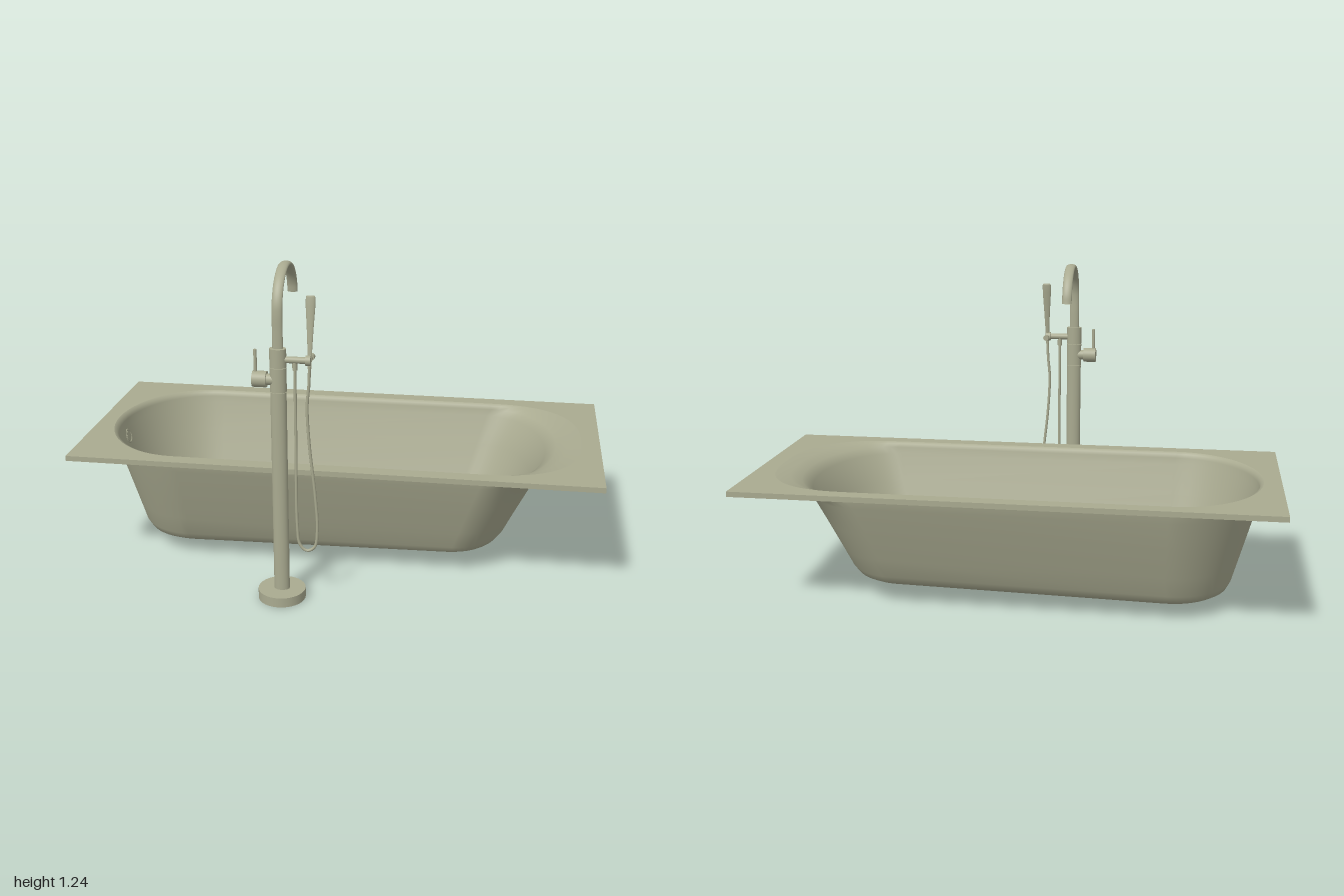
import * as THREE from 'three';

const stone = new THREE.MeshStandardMaterial({ color: 0xa9aa90, side: THREE.DoubleSide });
stone.name = 'warm grey';

const TUB_Z = -0.08, TOP = 0.485, UNDER = 0.465;

// Basin cross-sections from the deck down: y, left x, right x, half width, left and right end lengths, squareness
const RINGS = [
  [0.465, -0.935, 0.93, 0.385, 0.33, 0.38, 2.6],
  [0.458, -0.930, 0.88, 0.380, 0.33, 0.32, 2.4],
  [0.443, -0.926, 0.84, 0.376, 0.33, 0.27, 2.1],
  [0.415, -0.920, 0.80, 0.370, 0.33, 0.25, 2],
  [0.300, -0.887, 0.745, 0.333, 0.30, 0.23, 2],
  [0.180, -0.853, 0.69, 0.292, 0.27, 0.21, 2],
  [0.100, -0.830, 0.655, 0.262, 0.24, 0.20, 2],
  [0.070, -0.815, 0.635, 0.242, 0.23, 0.19, 2],
  [0.053, -0.790, 0.605, 0.212, 0.21, 0.17, 2],
  [0.048, -0.750, 0.570, 0.175, 0.18, 0.14, 2],
];

// Rounded outline with a separate curve at each end
function outline([, xL, xR, hz, aL, aR, n], inset = 0) {
  const pts = [], N = 28;
  const pow = v => Math.sign(v) * Math.pow(Math.abs(v), 2 / n);
  for (let side = 0; side < 2; side++) {
    for (let i = 0; i <= N; i++) {
      const t = -Math.PI / 2 + Math.PI * (side + i / N);
      const c = side ? Math.min(0, Math.cos(t)) : Math.max(0, Math.cos(t));
      const k = side ? 2 / 2 : 2 / n;
      const end = Math.sign(c) * Math.pow(Math.abs(c), k);
      const x = side ? xL + aL + (aL - inset) * end : xR - aR + (aR - inset) * end;
      pts.push(new THREE.Vector2(x, TUB_Z + (hz - inset) * (side ? Math.sin(t) : pow(Math.sin(t)))));
    }
  }
  return pts;
}

// Loft through the rings, closed by a gently sloping floor
function basinGeometry(inner) {
  const pos = [], idx = [];
  let count = 0;
  RINGS.forEach((ring, r) => {
    const pts = outline(ring, inner && r ? 0.007 : 0);
    count = pts.length;
    const lift = inner ? 0.013 + 0.007 * ring[0] / UNDER : 0;
    const tilt = x => 0.03 * (x + 0.8) / 1.43 * (1 - ring[0] / UNDER);
    pts.forEach(p => pos.push(p.x, ring[0] + lift + tilt(p.x), p.y));
    if (r === RINGS.length - 1) {
      pos.push(-0.09, ring[0] + lift + tilt(-0.09), TUB_Z);
    }
  });
  const tri = (a, b, c) => (inner ? idx.push(a, c, b) : idx.push(a, b, c));
  for (let r = 0; r < RINGS.length; r++) {
    for (let i = 0; i < count; i++) {
      const j = (i + 1) % count, a = r * count + i, b = r * count + j;
      if (r < RINGS.length - 1) {
        tri(a, b, a + count);
        tri(b, b + count, a + count);
      } else tri(a, b, RINGS.length * count);
    }
  }
  const g = new THREE.BufferGeometry();
  g.setAttribute('position', new THREE.Float32BufferAttribute(pos, 3));
  g.setIndex(idx);
  g.computeVertexNormals();
  return g;
}

export function createModel() {
  const model = new THREE.Group();
  const tub = new THREE.Group(), faucet = new THREE.Group();
  tub.name = 'bathtub';
  faucet.name = 'floorFaucet';
  model.add(tub, faucet);

  const add = (parent, name, geo, x = 0, y = 0, z = 0) => {
    const m = new THREE.Mesh(geo, stone);
    m.name = name;
    m.position.set(x, y, z);
    parent.add(m);
    return m;
  };
  const cyl = (r, h, r2 = r) => new THREE.CylinderGeometry(r, r2, h, 32);

  // Flat deck with the basin opening
  const deck = new THREE.Shape([[-1, -0.523], [1, -0.523], [1, 0.363], [-1, 0.363]].map(p => new THREE.Vector2(...p)));
  deck.holes.push(new THREE.Path(outline(RINGS[0])));
  add(tub, 'deck', new THREE.ExtrudeGeometry(deck, { depth: TOP - UNDER, bevelEnabled: false }).rotateX(Math.PI / 2), 0, TOP, 0);
  add(tub, 'basinInside', basinGeometry(true));
  add(tub, 'basinOutside', basinGeometry(false));

  // Drain and overflow
  add(tub, 'drainRing', new THREE.TorusGeometry(0.027, 0.004, 8, 32).rotateX(Math.PI / 2), -0.65, 0.065, TUB_Z);
  add(tub, 'drainPlug', cyl(0.021, 0.006), -0.65, 0.066, TUB_Z);
  add(tub, 'drainStub', cyl(0.023, 0.02), -0.65, 0.045, TUB_Z);
  const overflow = new THREE.Group();
  overflow.name = 'overflow';
  overflow.position.set(-0.908, 0.4, TUB_Z);
  overflow.rotation.z = -1.29;
  tub.add(overflow);
  add(overflow, 'overflowRing', new THREE.TorusGeometry(0.026, 0.004, 8, 32).rotateX(Math.PI / 2), 0, 0.004, 0);
  add(overflow, 'overflowCap', cyl(0.02, 0.008), 0, 0.003, 0);
  add(overflow, 'overflowStub', cyl(0.02, 0.03), 0, -0.015, 0);

  // Faucet column
  faucet.position.set(-0.16, 0, 0.436);
  add(faucet, 'base', cyl(0.088, 0.037), 0, 0.0185, 0);
  add(faucet, 'column', cyl(0.029, 0.775).scale(1, 1, 0.77), 0, 0.4225, 0);
  add(faucet, 'valveBody', cyl(0.03, 0.088).scale(1, 1, 0.79), 0, 0.856, 0);
  add(faucet, 'upperBody', cyl(0.03, 0.068).scale(1, 1, 0.79), 0, 0.936, 0);

  // Flattened gooseneck spout
  const path = [new THREE.Vector3(0, 0.96, 0), new THREE.Vector3(0, 1.03, 0)];
  for (let i = 0; i <= 14; i++) {
    const a = Math.PI * 0.975 * i / 14;
    path.push(new THREE.Vector3(0, 1.092 + 0.143 * Math.sin(a), -0.143 + 0.143 * Math.cos(a)));
  }
  const spout = new THREE.CatmullRomCurve3(path);
  add(faucet, 'spout', new THREE.TubeGeometry(spout, 64, 0.0095, 20).scale(2, 1, 1));
  const tip = path[path.length - 1];
  add(faucet, 'spoutOutlet', new THREE.CircleGeometry(0.0095, 20).rotateX(Math.PI / 2).scale(2, 1, 1), 0, tip.y, tip.z);

  // Mixer knob and lever
  add(faucet, 'mixerNeck', cyl(0.02, 0.04).rotateZ(Math.PI / 2), -0.035, 0.855, 0);
  add(faucet, 'mixerKnob', cyl(0.029, 0.05).rotateZ(Math.PI / 2), -0.066, 0.855, 0);
  add(faucet, 'lever', cyl(0.006, 0.09), -0.081, 0.918, 0);

  // Hand shower bracket
  add(faucet, 'bracketArm', cyl(0.012, 0.09).rotateZ(Math.PI / 2), 0.07, 0.93, 0);
  add(faucet, 'bracketCollar', cyl(0.018, 0.018).rotateZ(Math.PI / 2), 0.108, 0.93, 0);
  add(faucet, 'bracketPin', cyl(0.007, 0.045).rotateX(Math.PI / 2), 0.112, 0.93, -0.025);
  add(faucet, 'bracketKnob', cyl(0.011, 0.022).rotateX(Math.PI / 2), 0.112, 0.93, -0.045);
  add(faucet, 'hoseOutlet', cyl(0.009, 0.03), 0.06, 0.908, 0);

  // Hand shower: a slim paddle, widest at the top
  const profile = [[0, 0], [0.007, 0], [0.008, 0.06], [0.012, 0.14], [0.017, 0.22], [0.017, 0.25], [0.014, 0.256], [0, 0.256]];
  const paddle = new THREE.LatheGeometry(profile.map(p => new THREE.Vector2(...p)), 24).scale(1, 1, 0.4);
  add(faucet, 'handShower', paddle, 0.112, 0.9, 0).rotation.x = -0.14;

  // Hanging hose loop
  const hose = [[0.06, 0.91], [0.06, 0.6], [0.061, 0.3], [0.07, 0.22], [0.095, 0.196], [0.124, 0.212],
    [0.135, 0.28], [0.128, 0.42], [0.108, 0.62], [0.102, 0.76], [0.109, 0.84], [0.112, 0.91]];
  const hoseCurve = new THREE.CatmullRomCurve3(hose.map(p => new THREE.Vector3(p[0], p[1], 0)));
  add(faucet, 'hose', new THREE.TubeGeometry(hoseCurve, 120, 0.0055, 10));

  return model;
}
